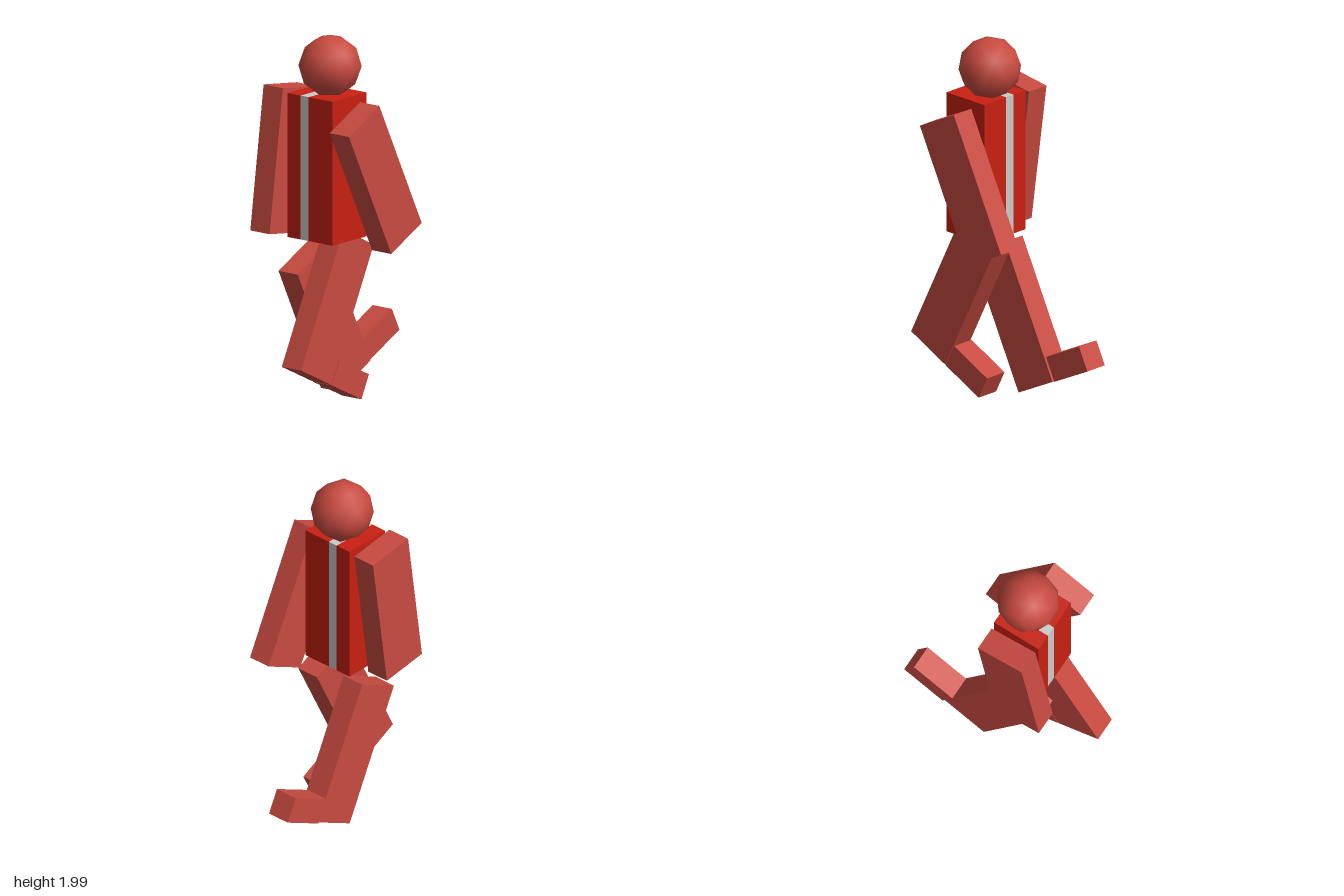
import * as THREE from 'three';

const red = new THREE.MeshStandardMaterial({ color: 0xc82012 });
const skin = new THREE.MeshStandardMaterial({ color: 0xc84a40 });
const grey = new THREE.MeshStandardMaterial({ color: 0xcccccc });

const TILT = THREE.MathUtils.degToRad(26.4);
const LIMB = [0.28, 0.787, 0.134];
const FOOT = [0.272, 0.14, 0.134];

// A named box, tilted about z
function addBox(parent, name, size, position, tilt, material) {
  const mesh = new THREE.Mesh(new THREE.BoxGeometry(...size), material);
  mesh.name = name;
  mesh.position.set(...position);
  mesh.rotation.z = tilt;
  parent.add(mesh);
}

export function createModel() {
  const model = new THREE.Group();
  model.name = 'walkingFigure';

  // Torso: two red blocks with a grey band running between them
  const torso = new THREE.Group();
  torso.name = 'torso';
  const slabs = [
    ['torsoFrontBlock', 0.163, -0.003, red],
    ['torsoStripe', -0.003, -0.06, grey],
    ['torsoBackBlock', -0.06, -0.152, red],
  ];
  for (const [name, z1, z0, material] of slabs) {
    addBox(torso, name, [0.282, 0.788, z1 - z0], [-0.14, 1.294, (z0 + z1) / 2], 0, material);
  }
  model.add(torso);

  // Swinging limbs and feet
  const limbs = [
    ['frontArm', LIMB, [-0.028, 1.238, 0.25], TILT],
    ['backArm', LIMB, [-0.197, 1.3, -0.25], -0.14],
    ['frontLeg', LIMB, [-0.241, 0.555, 0.096], -TILT],
    ['backLeg', LIMB, [-0.008, 0.423, -0.123], TILT],
    ['frontFoot', FOOT, [-0.133, 0.139, 0.096], -TILT],
    ['backFoot', FOOT, [0.389, 0.256, -0.132], TILT],
  ];
  for (const [name, size, position, tilt] of limbs) {
    addBox(model, name, size, position, tilt, skin);
  }

  // Head: smooth-shaded icosphere, turned to put a vertex at the top
  const headGeometry = new THREE.IcosahedronGeometry(0.169, 1);
  headGeometry.rotateX(-Math.atan2((1 + Math.sqrt(5)) / 2, 1));
  headGeometry.rotateY(Math.PI / 2);
  const head = new THREE.Mesh(headGeometry, skin);
  head.name = 'head';
  head.position.set(-0.113, 1.831, 0.004);
  model.add(head);

  return model;
}
